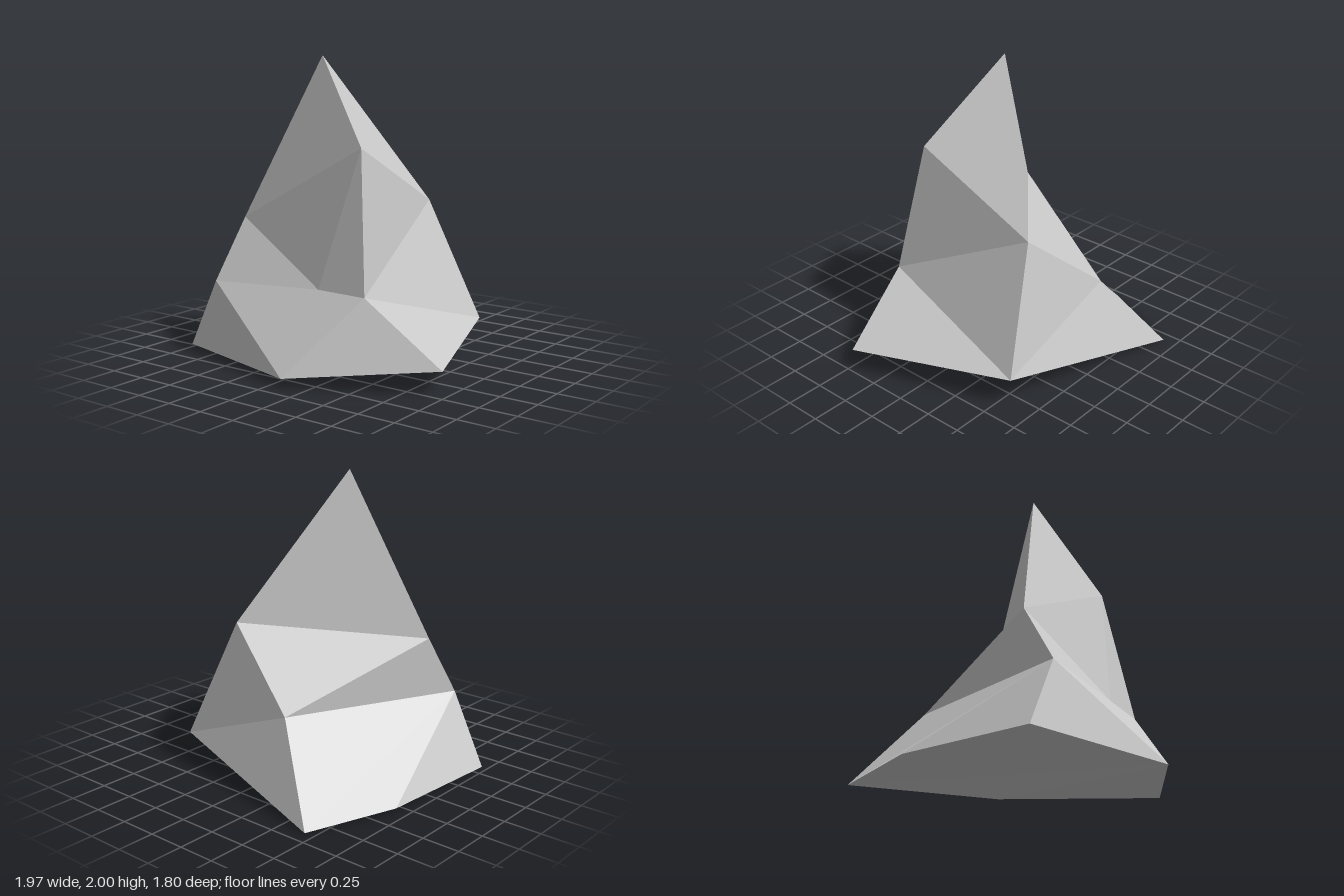
import * as THREE from 'three';

// Rock corners: foot ring, waist, shoulders and peak
const corners = {
  // foot ring
  A: [-0.68, 0, -0.905], B: [-0.925, 0.025, -0.325], C: [-0.985, 0.025, 0.555],
  D: [0.095, 0.06, 0.9], E: [0.98, 0.157, 0.465], F: [0.615, 0.213, -0.605],
  // waist
  a: [-0.28, 0.55, -0.63], b: [-0.737, 0.505, 0.57],
  c: [0.46, 0.543, 0.535], d: [0.1, 0.547, 0.53],
  // shoulders
  e: [-0.675, 0.915, 0.338], f: [0.327, 1.44, 0.385], g: [0.287, 1.02, -0.465],
  // peak
  T: [-0.172, 2, 0.125],
};

// Facets from peak to underside, each three corners counter-clockwise from outside
const facets = {
  peak: 'efT fgT geT',
  shoulders: 'aeg agF eab fed deb fdc fcg gcF',
  skirt: 'AaF baA bAB bBC bCD bDd dDc cDE cEF',
  underside: 'EDF FDA ADB BDC',
};

export function createModel() {
  const model = new THREE.Group();
  model.name = 'rock';
  const stone = new THREE.MeshStandardMaterial({ color: 0xc8c8c8, flatShading: true });
  stone.name = 'stone grey';

  for (const [name, list] of Object.entries(facets)) {
    const points = [...list.replaceAll(' ', '')].flatMap((key) => corners[key]);
    const geometry = new THREE.BufferGeometry();
    geometry.setAttribute('position', new THREE.Float32BufferAttribute(points, 3));
    geometry.computeVertexNormals();
    const mesh = new THREE.Mesh(geometry, stone);
    mesh.name = name;
    model.add(mesh);
  }
  return model;
}
